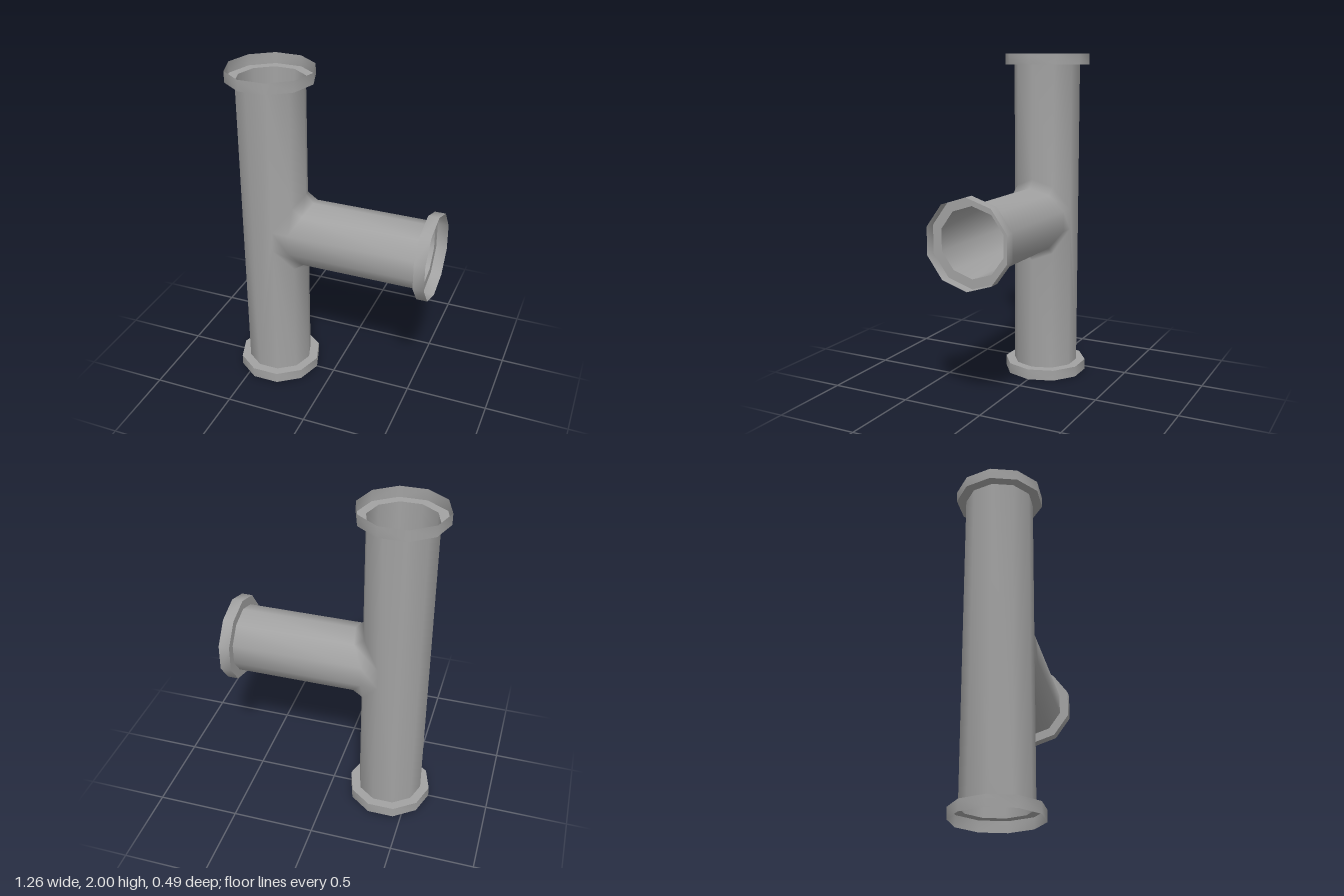
import * as THREE from 'three';
import { toCreasedNormals } from 'three/addons/utils/BufferGeometryUtils.js';

const SIDES = 10, R = 0.2, FLANGE_R = 0.256, FLANGE_H = 0.065;
const CX = -0.373, MID_Y = 1.005, BRANCH_END = 0.563;
const angle = (i) => (i / SIDES) * Math.PI * 2;

// Ten-sided shell: upright pipe with a side opening, chamfered into the branch
function teeGeometry() {
  const pos = [], index = [];
  const vertex = (x, y, z) => pos.push(x, y, z) / 3 - 1;
  const polygon = (...p) => {
    for (let i = 1; i < p.length - 1; i++) index.push(p[0], p[i], p[i + 1]);
  };

  // Half height of the opening on the columns nearest the branch
  const opening = { 0: 0.25, 1: 0.205, 9: 0.205, 2: 0.062, 8: 0.062 };
  const columns = [];
  for (let i = 0; i < SIDES; i++) {
    const x = CX + R * Math.cos(angle(i)), z = R * Math.sin(angle(i));
    const col = { b: vertex(x, FLANGE_H, z), t: vertex(x, 2 - FLANGE_H, z) };
    if (i in opening) {
      col.l = vertex(x, MID_Y - opening[i], z);
      col.u = vertex(x, MID_Y + opening[i], z);
    }
    columns.push(col);
  }

  // Upright pipe panels, split above and below the opening
  for (let i = 0; i < SIDES; i++) {
    const a = columns[i], c = columns[(i + 1) % SIDES];
    if ('l' in a && 'l' in c) {
      polygon(a.b, a.l, c.l, c.b);
      polygon(a.u, a.t, c.t, c.u);
    } else if ('l' in a) polygon(c.b, a.b, a.l, a.u, a.t, c.t);
    else if ('l' in c) polygon(a.b, a.t, c.t, c.u, c.l, c.b);
    else polygon(a.b, a.t, c.t, c.b);
  }

  // Branch: opening loop, chamfer loop, end loop
  const root = [
    ...[0, 1, 2].map((i) => columns[i].u),
    ...[2, 1, 0, 9, 8].map((i) => columns[i].l),
    ...[8, 9].map((i) => columns[i].u),
  ];
  const loop = (xAt) => root.map((_, k) =>
    vertex(xAt(k), MID_Y + R * Math.cos(angle(k)), R * Math.sin(angle(k))));
  const chamfer = loop((k) => -0.25 + 0.123 * Math.abs(Math.cos(angle(k))));
  const end = loop(() => BRANCH_END);
  for (const [from, to] of [[root, chamfer], [chamfer, end]]) {
    for (let k = 0; k < SIDES; k++) {
      const n = (k + 1) % SIDES;
      polygon(from[k], from[n], to[n], to[k]);
    }
  }

  const geometry = new THREE.BufferGeometry();
  geometry.setAttribute('position', new THREE.Float32BufferAttribute(pos, 3));
  geometry.setIndex(index);
  geometry.computeVertexNormals();
  return geometry;
}

export function createModel() {
  const group = new THREE.Group();
  group.name = 'teePipe';
  const material = new THREE.MeshStandardMaterial({ color: 0xa2a2a2, side: THREE.DoubleSide });

  const pipe = new THREE.Mesh(teeGeometry(), material);
  pipe.name = 'pipeBody';
  group.add(pipe);

  // Flanges: a flat shoulder and a thin open collar, smooth around, sharp between
  const profile = [[R, 0], [FLANGE_R, 0], [FLANGE_R, FLANGE_H]]
    .map(([r, y]) => new THREE.Vector2(r, y));
  const flangeGeometry = toCreasedNormals(
    new THREE.LatheGeometry(profile, SIDES, Math.PI / 2), 0.8);
  const addFlange = (name, x, y, turn) => {
    const flange = new THREE.Mesh(flangeGeometry, material);
    flange.name = name;
    flange.position.set(x, y, 0);
    flange.rotation.z = turn;
    group.add(flange);
  };
  addFlange('topFlange', CX, 2 - FLANGE_H, 0);
  addFlange('bottomFlange', CX, FLANGE_H, Math.PI);
  addFlange('branchFlange', BRANCH_END, MID_Y, -Math.PI / 2);

  return group;
}
